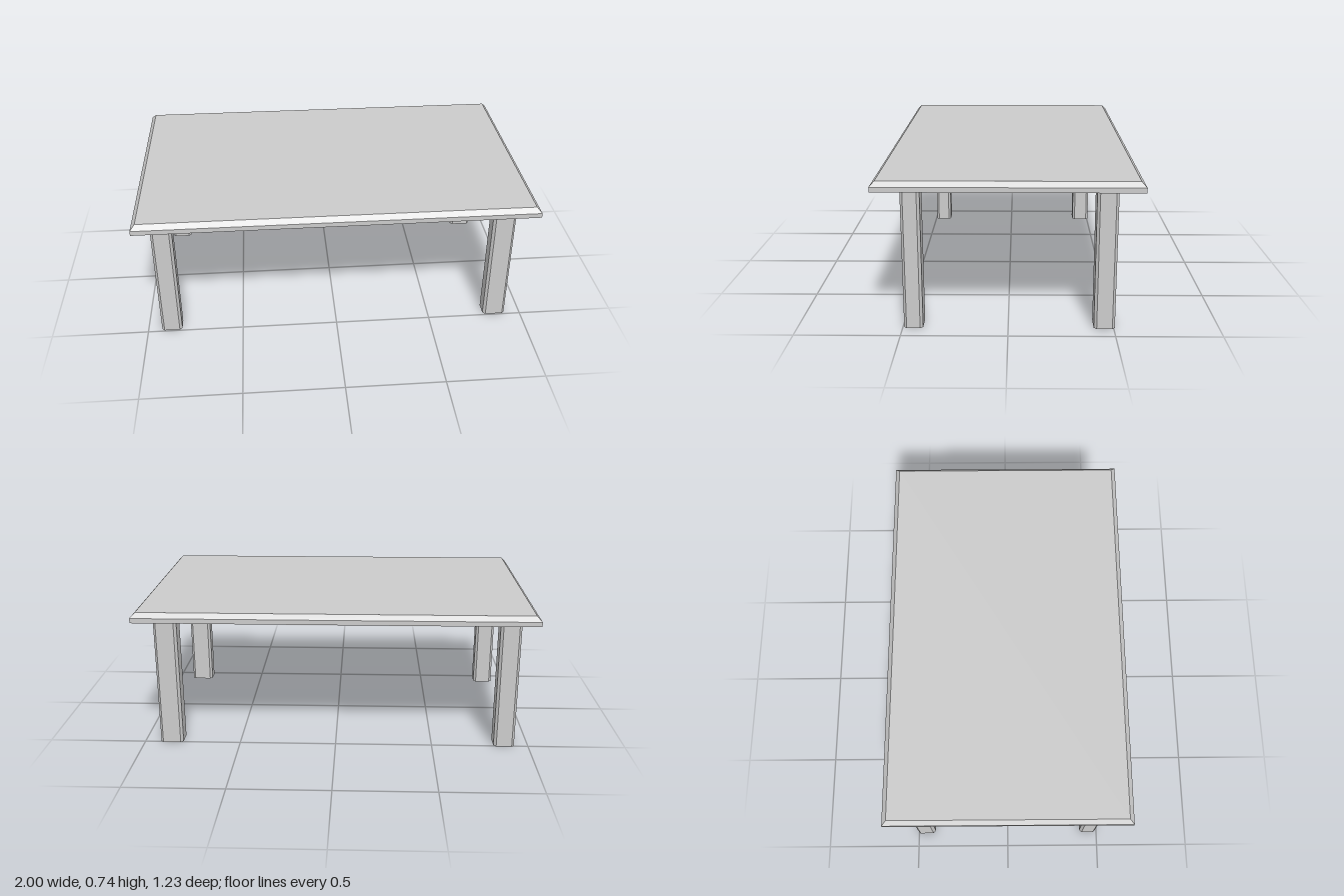
import * as THREE from 'three';

const material = new THREE.MeshStandardMaterial({ color: 0xcccccc, flatShading: true });

const LEG_HEIGHT = 0.69;
const TOP_HEIGHT = 0.738;
const BEVEL = 0.023;

// Slab with a straight lower edge and a bevel around its upper rim
function createTabletop(width, depth) {
  const thickness = TOP_HEIGHT - LEG_HEIGHT;
  const box = new THREE.BoxGeometry(width, thickness, depth, 1, 2, 1);
  const pos = box.attributes.position;
  for (let i = 0; i < pos.count; i++) {
    if (pos.getY(i) > 0.001) {
      pos.setX(i, pos.getX(i) - Math.sign(pos.getX(i)) * BEVEL);
      pos.setZ(i, pos.getZ(i) - Math.sign(pos.getZ(i)) * BEVEL);
    }
  }
  const geometry = box.toNonIndexed();
  geometry.computeVertexNormals();
  const mesh = new THREE.Mesh(geometry, material);
  mesh.name = 'tabletop';
  mesh.position.y = LEG_HEIGHT + thickness / 2;
  return mesh;
}

// Straight post with chamfered vertical corners
function createLeg(name, [x0, x1], [z0, z1], chamfer = 0.013) {
  const w = (x1 - x0) / 2, d = (z1 - z0) / 2, c = chamfer;
  const outline = new THREE.Shape([
    [w - c, -d], [w, c - d], [w, d - c], [w - c, d],
    [c - w, d], [-w, d - c], [-w, c - d], [c - w, -d],
  ].map(([x, y]) => new THREE.Vector2(x, y)));
  const geometry = new THREE.ExtrudeGeometry(outline, { depth: LEG_HEIGHT, bevelEnabled: false });
  geometry.rotateX(-Math.PI / 2);
  const mesh = new THREE.Mesh(geometry, material);
  mesh.name = name;
  mesh.position.set((x0 + x1) / 2, 0, (z0 + z1) / 2);
  return mesh;
}

export function createModel() {
  const table = new THREE.Group();
  table.name = 'table';
  table.add(createTabletop(2, 1.234));

  // Legs stand where the side spans cross the front and back spans
  const sides = { Left: [0.8, 0.917], Right: [-0.928, -0.822] };
  const ends = { front: [0.404, 0.494], back: [-0.506, -0.406] };
  for (const [end, zSpan] of Object.entries(ends)) {
    for (const [side, xSpan] of Object.entries(sides)) {
      table.add(createLeg(`${end}${side}Leg`, xSpan, zSpan));
    }
  }
  return table;
}
